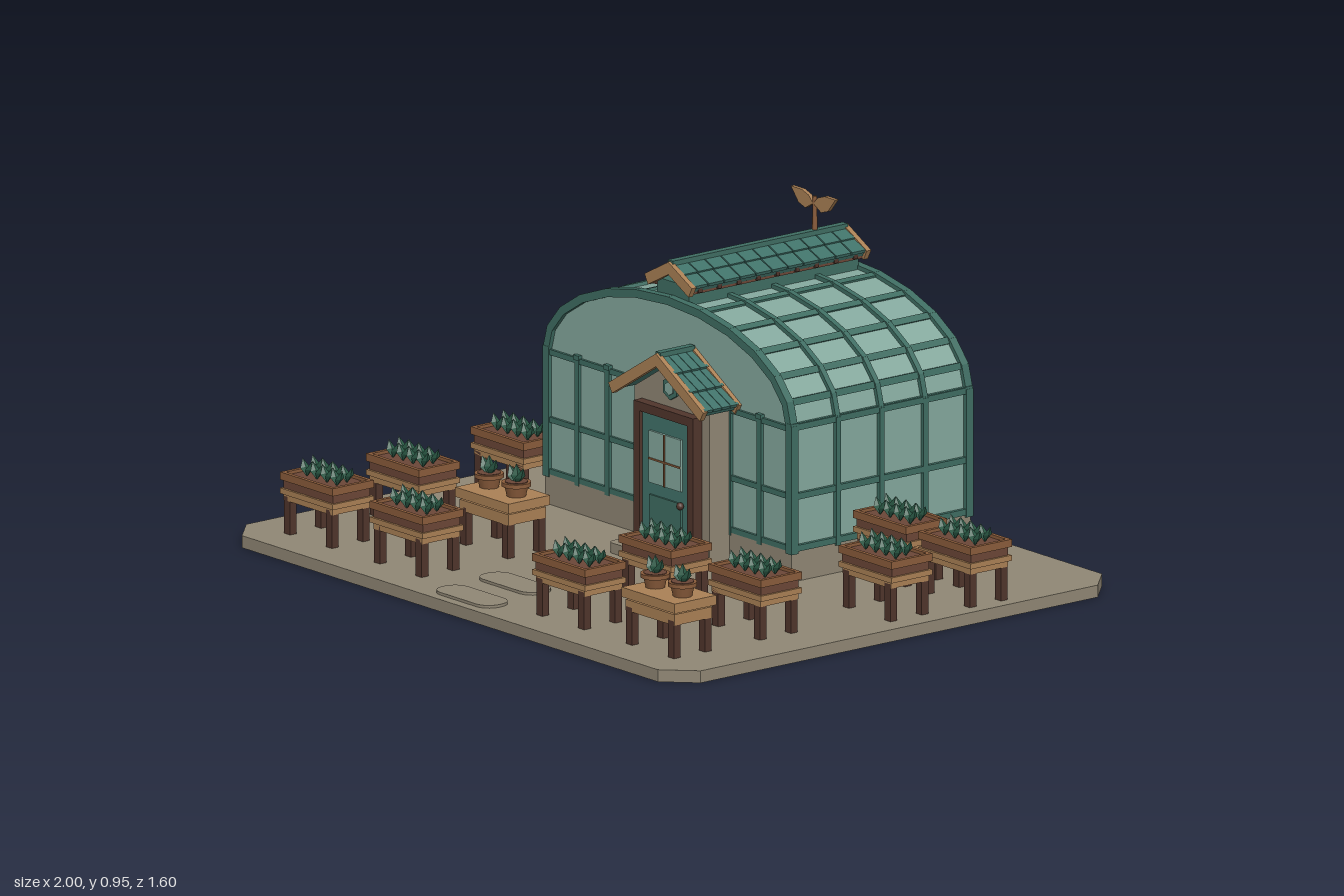
import * as THREE from 'three';

const mat = (name, color) => {
  const m = new THREE.MeshStandardMaterial({ color });
  m.name = name;
  return m;
};
const M = {
  stone: mat('stone', 0x8f8674), glass: mat('glass', 0x84a89d), frame: mat('frame green', 0x3f6d62),
  roof: mat('roof green', 0x41736a), wood: mat('light wood', 0xaa8055), brown: mat('brown wood', 0x8a5c3b),
  dark: mat('dark wood', 0x50352c), red: mat('red soil', 0x6b4637), leaf: mat('leaf green', 0x2c5c48),
};

function add(parent, name, geo, material, x = 0, y = 0, z = 0) {
  const m = new THREE.Mesh(geo, material);
  m.name = name;
  m.position.set(x, y, z);
  parent.add(m);
  return m;
}
const box = (parent, name, material, w, h, d, x, y, z) =>
  add(parent, name, new THREE.BoxGeometry(w, h, d), material, x, y, z);
function group(parent, name, x = 0, y = 0, z = 0) {
  const g = new THREE.Group();
  g.name = name;
  g.position.set(x, y, z);
  parent.add(g);
  return g;
}
const extrude = (pts, depth) => new THREE.ExtrudeGeometry(
  new THREE.Shape(pts.map(p => new THREE.Vector2(p[0], p[1]))), { depth, bevelEnabled: false });

// Gabled roof with its ridge at the group's origin, running along z
function gableRoof(parent, name, x, y, z, halfW, drop, len, rows, cols) {
  const g = group(parent, name, x, y, z);
  const L = Math.hypot(halfW, drop), a = Math.atan2(drop, halfW);
  for (const s of [-1, 1]) {
    const side = group(g, 'roofSlope');
    side.rotation.z = -s * a;
    box(side, 'roofDeck', M.roof, L, 0.014, len, s * L / 2, -0.012, 0);
    for (let r = 0; r < rows; r++) for (let c = 0; c < cols; c++) {
      const t = box(side, 'shingle', M.roof, L / rows * 1.1, 0.01, len / cols * 0.93,
        s * L * (r + 0.5) / rows, -0.003, (c + 0.5) * len / cols - len / 2);
      t.rotation.z = s * 0.09;
    }
    for (const e of [-1, 1])
      box(side, 'fascia', M.wood, L + 0.012, 0.032, 0.016, s * (L / 2 + 0.002), -0.011, e * len / 2);
  }
  box(g, 'ridgeCap', M.frame, 0.022, 0.014, len, 0, 0.002, 0);
}

// Greenhouse outline: straight walls and a twelve-part elliptical arch
const CX = -0.105, HW = 0.535, WALL = 0.48, RISE = 0.255, Z0 = -0.71, Z1 = -0.08;
const arch = Array.from({ length: 13 }, (_, i) => {
  const t = i * Math.PI / 12;
  return [CX + HW * Math.cos(t), WALL + RISE * Math.sin(t)];
});

function buildGreenhouse(root) {
  const g = group(root, 'greenhouse');
  const len = Z1 - Z0, zc = (Z0 + Z1) / 2;
  box(g, 'foundation', M.stone, HW * 2 + 0.015, 0.09, len + 0.015, CX, 0.078, zc);
  const outline = [[CX - HW, 0.1], [CX + HW, 0.1], ...arch];
  add(g, 'glassHall', extrude(outline, len), M.glass, 0, 0, Z0);

  // Ribs and purlins
  for (let i = 0; i < 5; i++) {
    const z = Z0 + len * i / 4, w = i % 4 ? 0.017 : 0.025;
    for (const s of [-1, 1]) box(g, 'wallPost', M.frame, 0.026, 0.37, w, CX + s * HW, 0.3, z);
    for (let k = 0; k < 12; k++) {
      const [ax, ay] = arch[k], [bx, by] = arch[k + 1];
      const b = box(g, 'archRib', M.frame, Math.hypot(bx - ax, by - ay) + 0.006, 0.024, w,
        (ax + bx) / 2, (ay + by) / 2, z);
      b.rotation.z = Math.atan2(by - ay, bx - ax);
    }
  }
  arch.forEach(([x, y], i) => {
    const p = box(g, 'purlin', M.frame, 0.02, 0.014, len, x, y, zc);
    p.rotation.z = i * Math.PI / 12 - Math.PI / 2;
  });
  for (const s of [-1, 1]) for (const y of [0.13, 0.28, WALL])
    box(g, 'sideRail', M.frame, 0.022, 0.018, len, CX + s * HW, y, zc);

  // End wall mullions and rails
  for (const z of [Z0, Z1]) {
    for (let i = 0; i < 9; i++) {
      const x = CX - HW + HW * i / 4;
      box(g, 'mullion', M.frame, 0.018, 0.37, 0.02, x, 0.3, z);
      box(g, 'mullionCap', M.frame, 0.024, 0.014, 0.026, x, 0.485, z);
    }
    for (const y of [0.13, 0.28, 0.475]) box(g, 'endRail', M.frame, HW * 2, 0.016, 0.016, CX, y, z);
  }

  // Ridge vent
  box(g, 'ventBase', M.frame, 0.14, 0.07, len - 0.02, CX, 0.75, zc);
  for (const s of [-1, 1]) {
    box(g, 'ventSlat', M.red, 0.014, 0.022, len - 0.01, CX + s * 0.076, 0.776, zc);
    for (let i = 0; i < 9; i++)
      box(g, 'ventBlock', M.dark, 0.01, 0.014, 0.014, CX + s * 0.085, 0.776, Z0 + len * (i + 0.5) / 9);
  }
  gableRoof(g, 'ventRoof', CX, 0.84, zc, 0.095, 0.05, len, 2, 11);
}

function buildSproutVane(root) {
  const g = group(root, 'sproutVane', CX, 0, -0.6);
  add(g, 'pole', new THREE.CylinderGeometry(0.006, 0.008, 0.12, 8), M.brown, 0, 0.885, 0);
  for (const s of [-1, 1]) {
    const pts = [[0, 0.925], [s * 0.035, 0.905], [s * 0.065, 0.915], [s * 0.098, 0.955],
      [s * 0.05, 0.955], [s * 0.02, 0.945]];
    add(g, 'vaneLeaf', extrude(pts, 0.012), M.wood, 0, 0, -0.006);
  }
}

function buildPorch(root) {
  const g = group(root, 'porch');
  add(g, 'porchWalls', extrude([[-0.165, 0.035], [0.165, 0.035], [0.165, 0.49], [0, 0.59], [-0.165, 0.49]], 0.1),
    M.stone, 0, 0, -0.1);
  gableRoof(g, 'porchRoof', 0, 0.62, -0.012, 0.2, 0.122, 0.125, 3, 4);
  // Door frame, door and window
  for (const s of [-1, 1]) box(g, 'doorJamb', M.dark, 0.026, 0.42, 0.035, s * 0.118, 0.245, 0.014);
  box(g, 'doorLintel', M.dark, 0.262, 0.026, 0.035, 0, 0.447, 0.014);
  box(g, 'threshold', M.dark, 0.21, 0.016, 0.035, 0, 0.045, 0.014);
  box(g, 'door', M.roof, 0.21, 0.385, 0.024, 0, 0.243, 0.008);
  box(g, 'doorPanel', M.frame, 0.14, 0.12, 0.008, 0, 0.14, 0.022);
  box(g, 'doorWindow', M.glass, 0.14, 0.15, 0.008, 0, 0.31, 0.023);
  box(g, 'windowBar', M.brown, 0.005, 0.15, 0.006, 0, 0.31, 0.027);
  box(g, 'windowBar', M.brown, 0.14, 0.005, 0.006, 0, 0.305, 0.027);
  add(g, 'doorKnob', new THREE.SphereGeometry(0.011, 10, 8), M.dark, 0.072, 0.195, 0.03);
  // Plain round ornament in the gable
  const disc = add(g, 'gableOrnament', new THREE.CylinderGeometry(0.034, 0.034, 0.01, 6), M.frame, 0, 0.517, 0.003);
  disc.rotation.x = Math.PI / 2;
  const inset = add(g, 'ornamentInset', new THREE.CylinderGeometry(0.02, 0.02, 0.008, 6), M.glass, 0, 0.517, 0.008);
  inset.rotation.x = Math.PI / 2;
}

// Flat slab with rounded corners
function slab(w, d, r, h) {
  const pts = [];
  [[1, 1], [-1, 1], [-1, -1], [1, -1]].forEach(([sx, sy], q) => {
    for (let i = 0; i <= 5; i++) {
      const t = (q + i / 5) * Math.PI / 2;
      pts.push([sx * (w / 2 - r) + r * Math.cos(t), sy * (d / 2 - r) + r * Math.sin(t)]);
    }
  });
  return extrude(pts, h).rotateX(-Math.PI / 2);
}

// Sprout of thin pointed leaves leaning outwards
function sprout(parent, x, y, z, h, leaves) {
  const geo = new THREE.OctahedronGeometry(1).scale(h * 0.1, h / 2, h * 0.3).translate(0, h / 2, 0);
  const g = group(parent, 'sprout', x, y, z);
  for (const tilt of leaves) add(g, 'leaf', geo, M.leaf).rotation.z = tilt;
  return g;
}

function table(root, x, z) {
  const g = group(root, 'table', x, 0, z);
  for (const sx of [-1, 1]) for (const sz of [-1, 1])
    box(g, 'tableLeg', M.dark, 0.026, 0.11, 0.024, sx * 0.092, 0.088, sz * 0.056);
  box(g, 'tableApron', M.wood, 0.215, 0.032, 0.136, 0, 0.147, 0);
  return g;
}

function planterTable(root, x, z) {
  const g = table(root, x, z);
  box(g, 'tableTop', M.wood, 0.232, 0.016, 0.148, 0, 0.157, 0);
  box(g, 'planterBox', M.red, 0.218, 0.04, 0.134, 0, 0.182, 0);
  for (const s of [-1, 1]) {
    box(g, 'planterRim', M.brown, 0.232, 0.022, 0.012, 0, 0.2, s * 0.068);
    box(g, 'planterRim', M.brown, 0.012, 0.022, 0.124, s * 0.11, 0.2, 0);
  }
  for (let i = 0; i < 4; i++) for (const s of [-1, 1])
    sprout(g, (i - 1.5) * 0.044 + s * 0.005, 0.2, s * 0.022, 0.054, [-0.45, 0.35]);
}

function potTable(root, x, z) {
  const g = table(root, x, z);
  box(g, 'tableTop', M.wood, 0.235, 0.028, 0.15, 0, 0.183, 0);
  for (const s of [-1, 1]) {
    add(g, 'pot', new THREE.CylinderGeometry(0.036, 0.027, 0.04, 14), M.brown, s * 0.06, 0.215, 0);
    add(g, 'potRim', new THREE.CylinderGeometry(0.042, 0.042, 0.012, 14), M.brown, s * 0.06, 0.232, 0);
    add(g, 'potSoil', new THREE.CylinderGeometry(0.033, 0.033, 0.004, 14), M.red, s * 0.06, 0.238, 0);
    sprout(g, s * 0.06, 0.225, 0, 0.065, [-0.5, 0, 0.5]);
  }
}

export function createModel() {
  const root = new THREE.Group();
  root.name = 'gardenGreenhouse';

  // Ground plate with cut corners
  const c = [[1, 0.715], [0.915, 0.8], [-0.915, 0.8], [-1, 0.715]];
  const plate = [...c, ...c.map(([x, y]) => [-x, -y])];
  add(root, 'groundPlate', extrude(plate, 0.035).rotateX(-Math.PI / 2), M.stone);

  buildGreenhouse(root);
  buildSproutVane(root);
  buildPorch(root);

  // Doorstep and path
  add(root, 'doorStep', slab(0.275, 0.14, 0.02, 0.03), M.stone, 0, 0.035, 0.05);
  [[0.02, 0.34], [-0.03, 0.54], [0, 0.72]].forEach(([x, z]) =>
    add(root, 'pathStone', slab(0.25, 0.1, 0.045, 0.008), M.stone, x, 0.035, z));

  [[-0.79, -0.09], [-0.755, 0.315], [-0.755, 0.625], [-0.36, 0.625], [0.355, 0.315], [0.75, 0.315],
    [0.355, 0.625], [0.57, -0.355], [0.855, -0.355], [0.83, -0.09]].forEach(([x, z]) => planterTable(root, x, z));
  [[-0.36, 0.315], [0.75, 0.625]].forEach(([x, z]) => potTable(root, x, z));
  return root;
}
